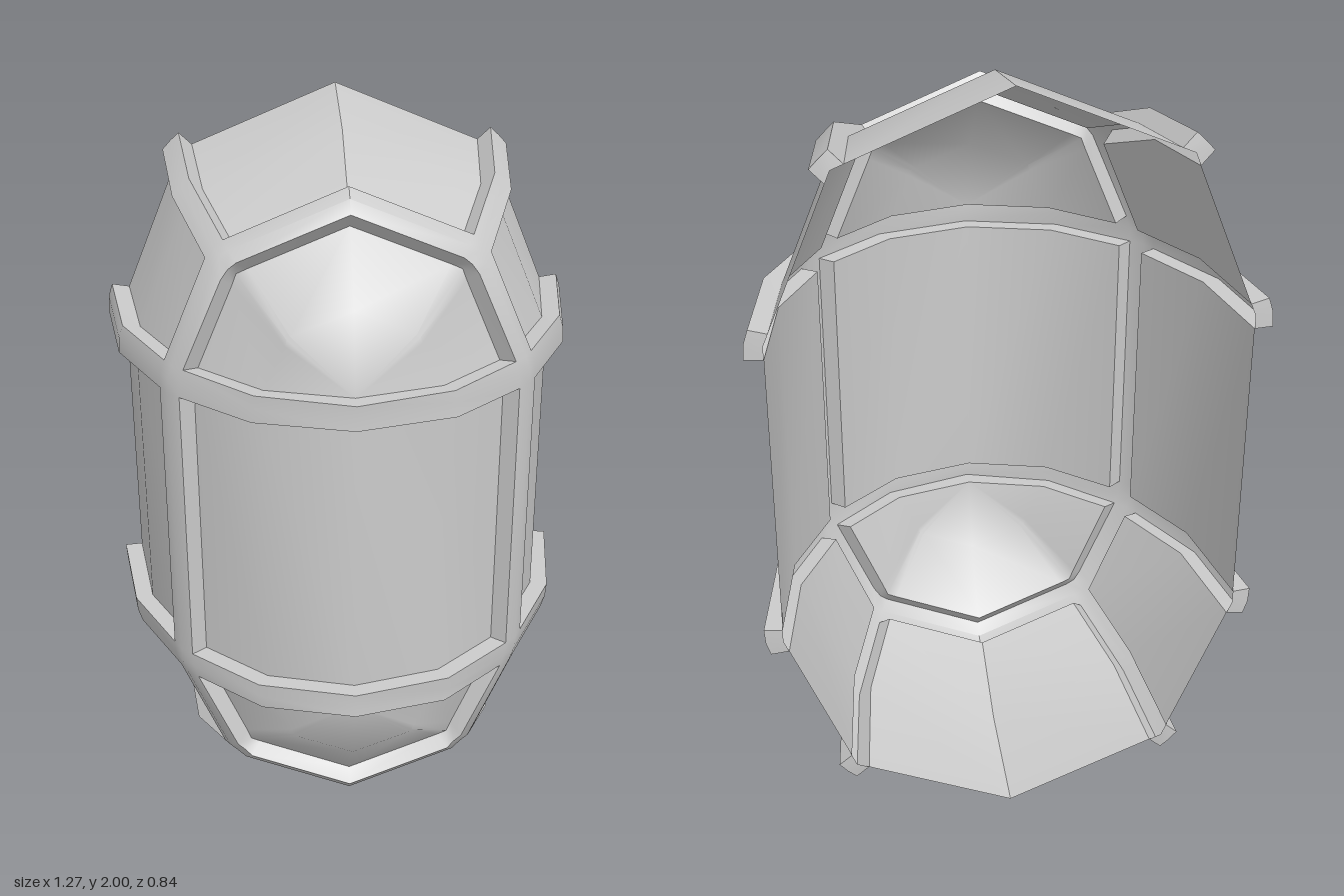
import * as THREE from 'three';
import { toCreasedNormals } from 'three/addons/utils/BufferGeometryUtils.js';

const R = 0.588, DEPTH = 0.79, BACK = -0.42; // radius of the round ends, depth, rear plane
const MID = 1, HALF = 0.412;                 // centre height, half length of the straight part
const W = 0.034, RISE = 0.048;               // half width and height of the ribs
const deg = Math.PI / 180;

// Rows from the open back to the front apex, as [cos, sin] of the latitude
const lat = [0, 22.5, 45, 67.5, 90].map(d => [Math.cos(d * deg), Math.sin(d * deg)]);
const mix = (a, b, t) => [a[0] + (b[0] - a[0]) * t, a[1] + (b[1] - a[1]) * t];
const rows = [lat[0], lat[1], mix(lat[2], lat[1], 0.14), lat[2], mix(lat[2], lat[3], 0.15), lat[3], [0, 1]];

// Columns of the upper left quarter: angle, shift along the edge, edge direction, normal angle, rib height
const quarter = [
  { a: 0, s: W, d: -90, n: 0, h: RISE },
  { a: 0, s: 0, d: 0, n: 8, h: RISE * 0.95 },
  { a: 0, s: W, d: 112.5, n: 12, h: RISE },
  { a: 45, s: W, d: -67.5, n: 45, h: RISE },
  { a: 45, s: 0, d: 0, n: 45, h: RISE - 0.012 },
  { a: 45, s: W, d: 157.5, n: 45, h: RISE },
  { a: 90, s: 0, d: 0, n: 90, h: RISE },
];
const half = [
  ...quarter.map(c => ({ ...c, mx: 1 })),
  ...quarter.slice(0, 6).reverse().map(c => ({ ...c, mx: -1 })),
];
const columns = [
  ...half.map(c => ({ ...c, my: 1 })),
  ...half.slice().reverse().map(c => ({ ...c, my: -1 })),
];

// Zone of each gap between neighbouring columns
const zones = ['ring', 'ring', 'LeftShoulder', 'diagonal', 'diagonal', 'Crown',
  'Crown', 'diagonal', 'diagonal', 'RightShoulder', 'ring', 'ring'];
const gaps = [
  ...zones.map(z => [z, 'upper']), ['RightPanel', 'side'],
  ...zones.slice().reverse().map(z => [z, 'lower']), ['LeftPanel', 'side'],
];

// Point of the shell at a row and column, raised by the rib height if asked
function point(i, j, raised) {
  const [c, s] = rows[i], col = columns[j % columns.length];
  const shift = col.a === 45 ? col.s * Math.min(1, c / Math.SQRT1_2) : col.s;
  let x = R * c * Math.cos(col.a * deg);
  let y = R * c * Math.sin(col.a * deg) + shift * Math.sin(col.d * deg);
  x += shift * Math.cos(col.d * deg) * Math.min(1, c * 1.4);
  if (col.a > 0) y = Math.max(y, W * Math.sin(112.5 * deg));
  const p = new THREE.Vector3(x, y + HALF, BACK + DEPTH * s);
  if (raised) {
    const n = new THREE.Vector3(c * Math.cos(col.n * deg), c * Math.sin(col.n * deg),
      Math.max(s, 0.2) * R / DEPTH);
    p.addScaledVector(n.normalize(), col.h);
  }
  return p.set(p.x * col.mx, MID + p.y * col.my, p.z);
}

function isRib(i, j) {
  const zone = gaps[(j + gaps.length) % gaps.length][0];
  return zone === 'ring' || i === 2 || i === 3 || (zone === 'diagonal' && i < 2);
}

function panelName(i, j) {
  const [zone, part] = gaps[j];
  if (i > 3) return part === 'side' ? 'frontPanel' : part + 'FrontDome';
  return part + zone;
}

function addTriangle(list, a, b, c) {
  const area = b.clone().sub(a).cross(c.clone().sub(a)).length();
  if (area > 1e-7) for (const p of [a, b, c]) list.push(p.x, p.y, p.z);
}

function addQuad(list, a, b, c, d) {
  addTriangle(list, a, b, c);
  addTriangle(list, a, c, d);
}

export function createModel() {
  const group = new THREE.Group();
  group.name = 'ribbedHalfCapsule';
  const material = new THREE.MeshStandardMaterial({ color: 0xcccccc, side: THREE.DoubleSide });
  const parts = {};

  for (let i = 0; i < rows.length - 1; i++) {
    for (let j = 0; j < columns.length; j++) {
      const rib = isRib(i, j);
      const list = (parts[rib ? 'ribs' : panelName(i, j)] ??= []);
      const corners = [[i, j], [i, j + 1], [i + 1, j + 1], [i + 1, j]];
      addQuad(list, ...corners.map(([r, k]) => point(r, k, rib)));
      if (!rib) continue;
      // Side walls of the ribs, wherever they border a panel or the open back
      const open = [i === 0 || !isRib(i - 1, j), !isRib(i, j + 1),
        i < rows.length - 2 && !isRib(i + 1, j), !isRib(i, j - 1)];
      open.forEach((wall, e) => {
        if (!wall) return;
        const p = corners[e], q = corners[(e + 1) % 4];
        addQuad(list, point(...p, false), point(...q, false), point(...q, true), point(...p, true));
      });
    }
  }

  for (const [name, list] of Object.entries(parts)) {
    const geometry = new THREE.BufferGeometry();
    geometry.setAttribute('position', new THREE.Float32BufferAttribute(list, 3));
    const mesh = new THREE.Mesh(toCreasedNormals(geometry, 38 * deg), material);
    mesh.name = name;
    group.add(mesh);
  }
  return group;
}
